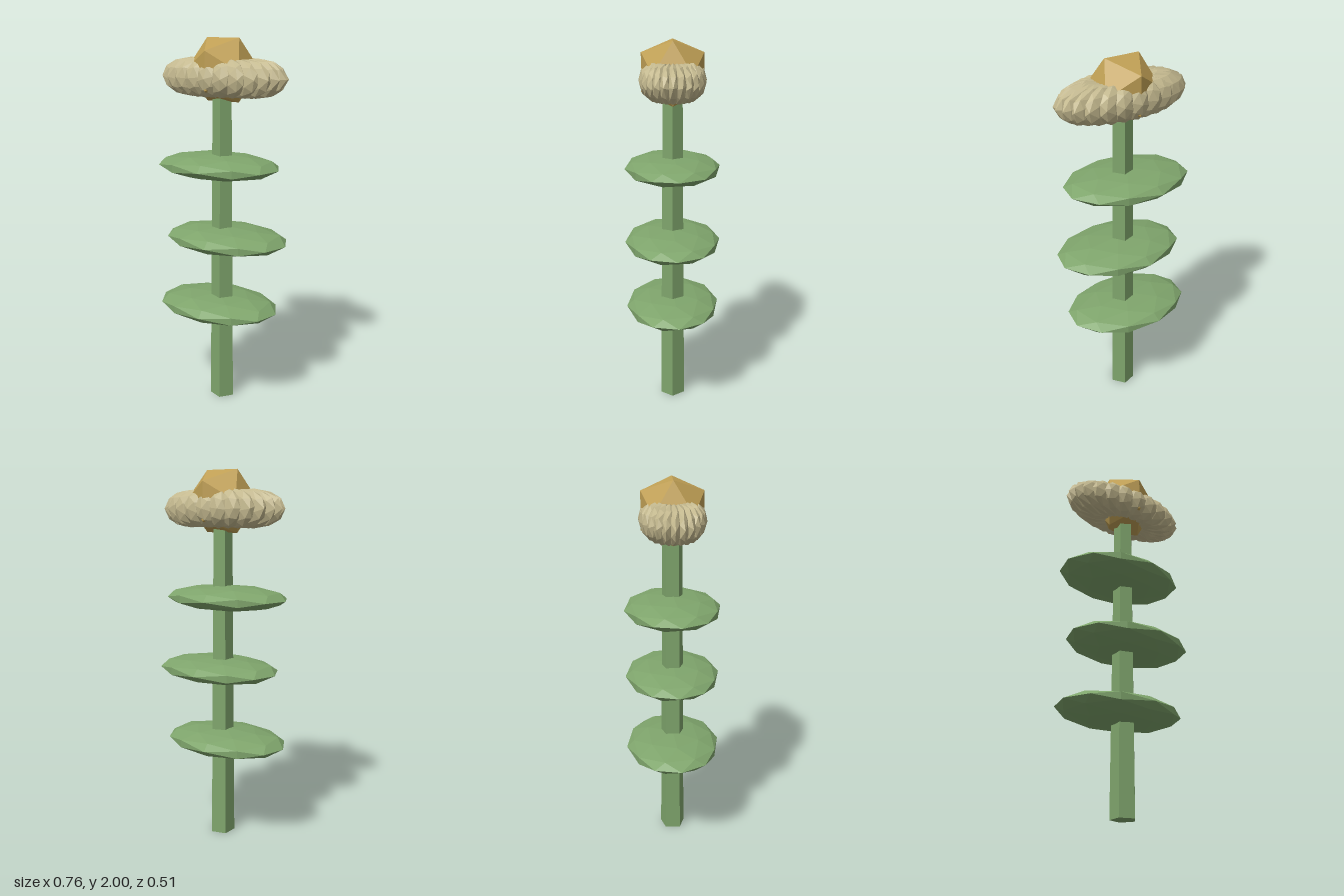
import * as THREE from 'three';

const mat = (color) => new THREE.MeshStandardMaterial({ color, flatShading: true });

export function createModel() {
  const model = new THREE.Group();
  const green = mat(0x7fa56c), tan = mat(0xc4b98f), gold = mat(0xc0a055);

  const add = (parent, name, geometry, material, x, y, z) => {
    const mesh = new THREE.Mesh(geometry, material);
    mesh.name = name;
    mesh.position.set(x, y, z);
    parent.add(mesh);
    return mesh;
  };

  // Five-sided tapering stem with one corner towards +x
  const stem = new THREE.CylinderGeometry(0.054, 0.07, 1.76, 5, 1, false, Math.PI / 2);
  add(model, 'stem', stem, green, 0, 0.88, 0);

  // Flat faceted leaves, shifted alternately to either side
  [[-0.03, 0.545, 0.13], [0.024, 0.94, 0.09], [-0.03, 1.335, 0.13]].forEach(([x, y, yaw], i) => {
    const leaf = new THREE.IcosahedronGeometry(1, 1).rotateY(yaw).scale(0.357, 0.066, 0.258);
    add(model, 'leaf' + (i + 1), leaf, green, x, y, 0);
  });

  // Ring of overlapping petals, squeezed front to back; each rolls a little further
  const petals = new THREE.Group();
  petals.name = 'petals';
  petals.position.y = 1.8;
  petals.scale.z = 0.465;
  model.add(petals);
  const count = 24;
  for (let i = 0; i < count; i++) {
    const angle = (i / count) * Math.PI * 2;
    const petal = new THREE.IcosahedronGeometry(1, 1)
      .rotateX(angle / 2)
      .scale(0.178, 0.1, 0.085)
      .translate(0.2, 0, 0)
      .rotateY(angle);
    add(petals, 'petal' + (i + 1), petal, tan, 0, 0, 0);
  }

  // Flower centre
  add(model, 'flowerCentre', new THREE.IcosahedronGeometry(0.19, 0), gold, 0, 1.838, 0);

  return model;
}
